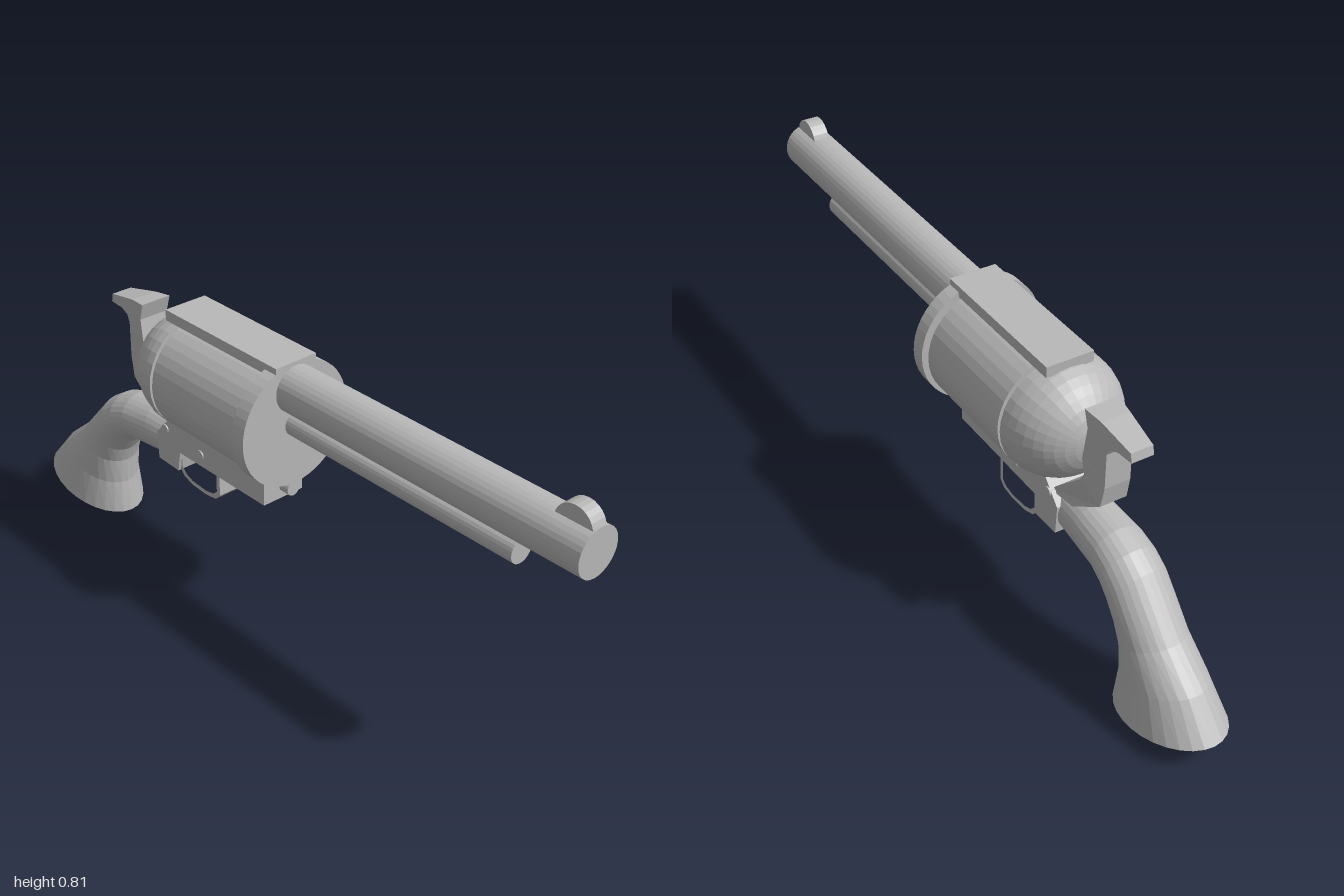
import * as THREE from 'three';

const CY = 0.607; // height of the drum axis

export function createModel() {
  const group = new THREE.Group();
  const steel = new THREE.MeshStandardMaterial({ color: 0xb8b8b8, flatShading: true });
  steel.name = 'grey steel';

  const add = (name, geometry, x = 0, y = 0, z = 0) => {
    const mesh = new THREE.Mesh(geometry, steel);
    mesh.name = name;
    mesh.position.set(x, y, z);
    group.add(mesh);
    return mesh;
  };
  // Round bar along z between two z values
  const bar = (name, r, y, z0, z1, sides = 32, x = 0) =>
    add(name, new THREE.CylinderGeometry(r, r, z1 - z0, sides).rotateX(Math.PI / 2), x, y, (z0 + z1) / 2);
  // Side outline in [z, y] pairs, extruded across x
  const toShape = (pts) => new THREE.Shape(pts.map(([z, y]) => new THREE.Vector2(z, y)));
  const plate = (shape, width) =>
    new THREE.ExtrudeGeometry(shape, { depth: width, bevelEnabled: false, curveSegments: 8 })
      .translate(0, 0, -width / 2).rotateY(-Math.PI / 2);

  // Barrel, ejector rod running back through the drum, and front sight
  bar('barrel', 0.064, 0.708, 0.05, 1);
  bar('ejectorRod', 0.034, 0.61, -0.36, 0.8, 24);
  add('frontSight', new THREE.CylinderGeometry(0.052, 0.052, 0.044, 24).rotateZ(Math.PI / 2), 0, 0.757, 0.945);

  // Drum between the front disc and the rear dome
  bar('frontDisc', 0.172, CY, 0.015, 0.057, 48);
  bar('drum', 0.16, CY, -0.322, 0.004, 40);
  add('rearDome', new THREE.SphereGeometry(0.16, 32, 10, 0, Math.PI * 2, 0, Math.PI / 2).rotateX(-Math.PI / 2), 0, CY, -0.332);
  add('rearDomeFace', new THREE.CircleGeometry(0.16, 32), 0, CY, -0.332);
  add('topStrap', new THREE.BoxGeometry(0.13, 0.03, 0.435), 0, 0.768, -0.16);

  // Lower frame with its pins
  add('lowerFrame', plate(toShape([
    [0.018, 0.375], [0.018, 0.46], [-0.375, 0.46], [-0.43, 0.4], [-0.425, 0.318],
    [-0.34, 0.315], [-0.33, 0.375],
  ]), 0.13), -0.007);
  bar('framePin', 0.02, 0.412, 0, 0.05, 20);
  for (const [z, y] of [[-0.24, 0.41], [-0.39, 0.425]]) {
    add('frameScrew', new THREE.CylinderGeometry(0.013, 0.013, 0.138, 16).rotateZ(Math.PI / 2), -0.007, y, z);
  }

  // Trigger guard: a wide band with an open middle
  const guard = toShape([
    [-0.172, 0.38], [-0.172, 0.31], [-0.19, 0.292], [-0.23, 0.286], [-0.29, 0.29],
    [-0.325, 0.302], [-0.345, 0.325], [-0.345, 0.38],
  ]);
  guard.holes.push(toShape([
    [-0.185, 0.374], [-0.185, 0.316], [-0.2, 0.304], [-0.23, 0.298], [-0.288, 0.302],
    [-0.315, 0.312], [-0.332, 0.33], [-0.332, 0.374],
  ]));
  add('triggerGuard', plate(guard, 0.122), -0.003);
  add('trigger', plate(toShape([
    [-0.23, 0.38], [-0.246, 0.355], [-0.244, 0.325], [-0.256, 0.33], [-0.264, 0.35], [-0.262, 0.38],
  ]), 0.03));

  // Hammer, narrowing towards the thumb spur
  const hammer = plate(toShape([
    [-0.506, 0.743], [-0.56, 0.738], [-0.663, 0.716], [-0.668, 0.692], [-0.625, 0.69], [-0.594, 0.68],
    [-0.583, 0.66], [-0.583, 0.56], [-0.572, 0.5], [-0.475, 0.433], [-0.38, 0.42],
    [-0.42, 0.46], [-0.5, 0.535], [-0.515, 0.56], [-0.505, 0.6], [-0.519, 0.695],
  ]), 2);
  const hp = hammer.attributes.position;
  for (let i = 0; i < hp.count; i++) {
    const t = THREE.MathUtils.clamp((hp.getZ(i) + 0.62) / 0.11, 0, 1);
    hp.setX(i, hp.getX(i) * (0.03 + 0.016 * t));
  }
  hammer.computeVertexNormals();
  add('hammer', hammer);

  // Grip: elliptical rings of [top z, top y, bottom z, bottom y, half width]
  const rings = [
    [-0.38, 0.435, -0.34, 0.317, 0.058], [-0.5, 0.44, -0.46, 0.306, 0.067],
    [-0.594, 0.43, -0.57, 0.298, 0.074], [-0.655, 0.408, -0.605, 0.282, 0.078],
    [-0.706, 0.375, -0.63, 0.257, 0.08], [-0.765, 0.31, -0.655, 0.22, 0.081],
    [-0.825, 0.245, -0.67, 0.175, 0.083], [-0.92, 0.168, -0.674, 0.1, 0.094],
    [-1.0, 0.077, -0.663, 0.003, 0.113],
  ];
  const N = 28, pos = [], idx = [];
  for (const [tz, ty, bz, by, w] of rings) {
    for (let i = 0; i < N; i++) {
      const a = (i / N) * Math.PI * 2, c = Math.cos(a);
      pos.push(Math.sin(a) * w, (ty + by) / 2 + c * (ty - by) / 2, (tz + bz) / 2 + c * (tz - bz) / 2);
    }
  }
  const last = (rings.length - 1) * N;
  for (let r = 0; r < rings.length - 1; r++) {
    for (let i = 0; i < N; i++) {
      const a = r * N + i, b = r * N + (i + 1) % N;
      idx.push(a, b, a + N, b, b + N, a + N);
    }
  }
  for (let i = 1; i < N - 1; i++) {
    idx.push(0, i + 1, i, last, last + i, last + i + 1);
  }
  const grip = new THREE.BufferGeometry();
  grip.setAttribute('position', new THREE.Float32BufferAttribute(pos, 3));
  grip.setIndex(idx);
  grip.computeVertexNormals();
  add('grip', grip, -0.009);

  return group;
}
